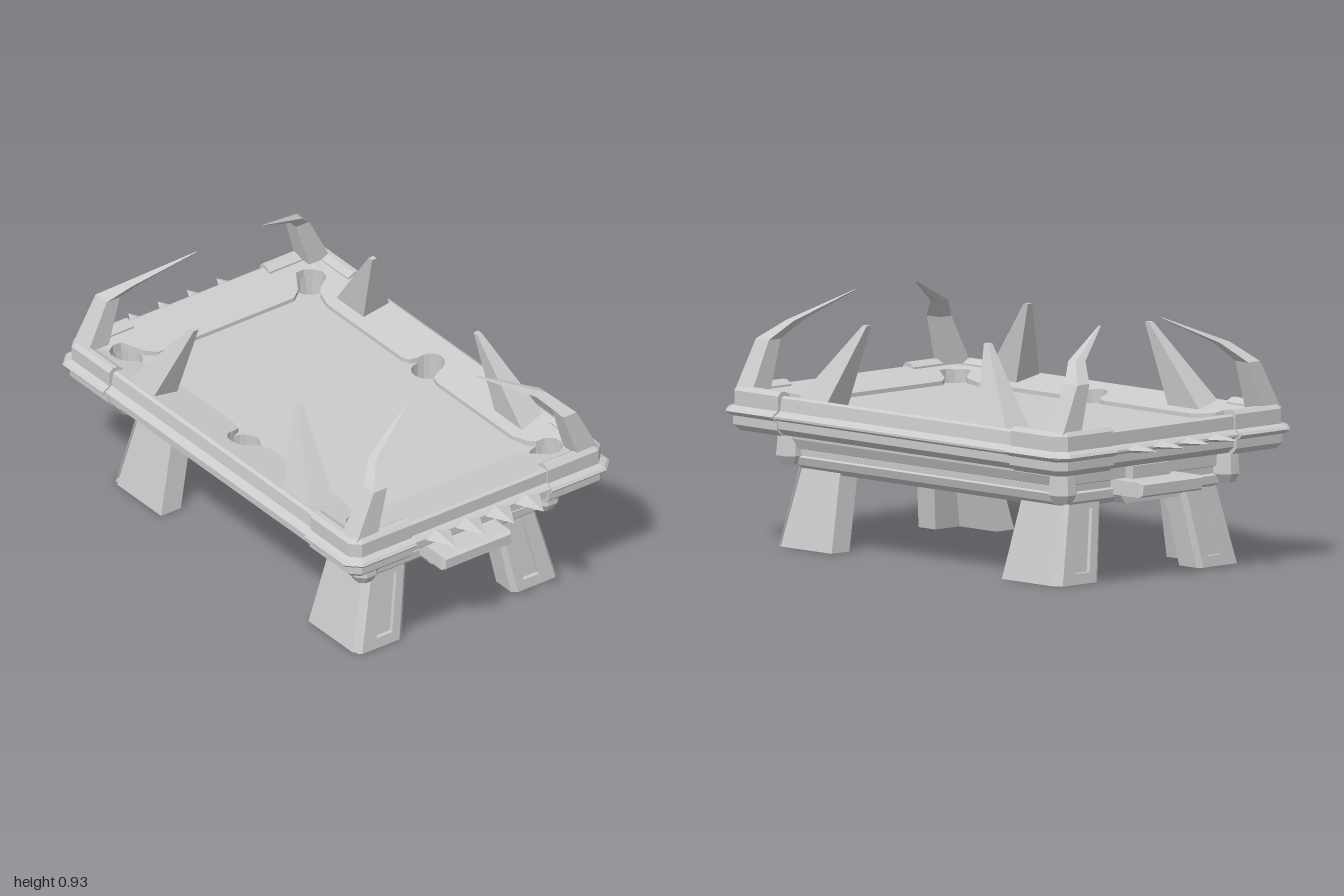
import * as THREE from 'three';

const solid = new THREE.MeshStandardMaterial({ color: 0xcccccc, flatShading: true });
const open = new THREE.MeshStandardMaterial({ color: 0xcccccc, flatShading: true, side: THREE.DoubleSide });
const V = (x, y, z) => new THREE.Vector3(x, y, z);
const lerp = THREE.MathUtils.lerp;

// Skin closed rings of points; end caps fan out from each ring's first point.
function loft(rings, capStart = true, capEnd = true) {
  const tris = [];
  const n = rings[0].length;
  for (let r = 0; r < rings.length - 1; r++) {
    for (let i = 0; i < n; i++) {
      const j = (i + 1) % n, a = rings[r], b = rings[r + 1];
      tris.push([a[i], b[i], b[j]], [a[i], b[j], a[j]]);
    }
  }
  const last = rings[rings.length - 1];
  for (let i = 1; i < n - 1; i++) {
    if (capStart) tris.push([rings[0][0], rings[0][i], rings[0][i + 1]]);
    if (capEnd) tris.push([last[0], last[i + 1], last[i]]);
  }
  // Turn the faces outward whichever way the rings run
  const o = rings[0][0];
  let volume = 0;
  for (const [a, b, c] of tris) volume += a.clone().sub(o).dot(b.clone().sub(o).cross(c.clone().sub(o)));
  const pos = [];
  for (const [a, b, c] of tris) for (const p of volume < 0 ? [a, c, b] : [a, b, c]) pos.push(p.x, p.y, p.z);
  const g = new THREE.BufferGeometry();
  g.setAttribute('position', new THREE.Float32BufferAttribute(pos, 3));
  g.computeVertexNormals();
  return g;
}

// Rectangle with chamfered corners, lying flat
function plate(hx, hz, y, c = 0.03) {
  return [[hx, hz - c], [hx - c, hz], [c - hx, hz], [-hx, hz - c], [-hx, c - hz], [c - hx, -hz], [hx - c, -hz], [hx, c - hz]]
    .map(([x, z]) => V(x, y, z));
}

// Four-sided section: centre, width and depth
const quad = (x, y, z, w, d) => [[-1, -1], [1, -1], [1, 1], [-1, 1]].map(([a, b]) => V(x + a * w / 2, y, z + b * d / 2));

export function createModel() {
  const group = new THREE.Group();
  const add = (name, geometry, material = solid) => {
    const mesh = new THREE.Mesh(geometry, material);
    mesh.name = name;
    group.add(mesh);
    return mesh;
  };
  const BED = 0.525, R = 0.062;

  // Rail frame with a thin projecting lip
  add('railFrame', loft([
    [0.86, 0.545, 0.575], [0.872, 0.558, 0.568], [0.872, 0.565, 0.52], [0.885, 0.575, 0.512], [0.895, 0.595, 0.503],
    [0.895, 0.595, 0.495], [0.87, 0.575, 0.485], [0.87, 0.575, 0.455], [0.84, 0.545, 0.43],
  ].map(([x, z, y]) => plate(x, z, y)), false, true));

  // Lower body with a long groove
  add('lowerBody', loft([
    [0.72, 0.44, 0.435], [0.72, 0.44, 0.4], [0.72, 0.425, 0.365], [0.705, 0.405, 0.36], [0.705, 0.405, 0.335],
    [0.72, 0.415, 0.33], [0.72, 0.405, 0.3], [0.70, 0.38, 0.278],
  ].map(([x, z, y]) => plate(x, z, y))));

  // Playing bed with six pocket holes
  const bed = new THREE.Shape([[-0.86, -0.545], [0.86, -0.545], [0.86, 0.545], [-0.86, 0.545]].map(p => new THREE.Vector2(...p)));
  for (const px of [-0.72, 0, 0.72]) for (const pz of [-0.42, 0.42]) {
    bed.holes.push(new THREE.Path().absarc(px, pz, R, 0, Math.PI * 2, true));
    const well = new THREE.LatheGeometry([[0, 0.45], [R, 0.45], [R, BED]].map(p => new THREE.Vector2(...p)), 16);
    add('pocket', well, open).position.set(px, 0, pz);
  }
  add('bed', new THREE.ShapeGeometry(bed, 8).rotateX(-Math.PI / 2).translate(0, BED, 0));

  // Sloped cushions: one quarter of [inner x, inner z, outer x, outer z], mirrored round
  const quarter = [];
  for (let i = 0; i <= 4; i++) {
    const a = Math.PI / 2 * (1 - i / 4), x = R * Math.cos(a);
    quarter.push([x, 0.42 + R * Math.sin(a), x, 0.545]);
  }
  quarter.push([0.075, 0.39, 0.075, 0.545], [0.11, 0.38, 0.11, 0.545], [0.56, 0.38, 0.56, 0.545], [0.63, 0.40, 0.64, 0.545]);
  for (let i = 0; i <= 6; i++) {
    const a = Math.PI * (1 - i / 6) - 0.35 * (i / 6), t = i / 6;
    quarter.push([0.72 + R * Math.cos(a), 0.42 + R * Math.sin(a),
      t < 0.5 ? lerp(0.66, 0.86, t * 2) : 0.86, t < 0.5 ? 0.545 : lerp(0.545, 0.40, t * 2 - 1)]);
  }
  quarter.push([0.70, 0.35, 0.86, 0.35], [0.67, 0.31, 0.86, 0.31], [0.67, 0, 0.86, 0]);
  const flip = (list, sx, sz) => list.map(([a, b, c, d]) => [a * sx, b * sz, c * sx, d * sz]);
  const back = [...quarter].reverse();
  const loop = [...quarter, ...flip(back, 1, -1).slice(1), ...flip(quarter, -1, -1).slice(1), ...flip(back, -1, 1).slice(1, -1)];
  const lip = ([x, z]) => {
    const t = Math.max((Math.abs(x) - 0.67) / 0.19, (Math.abs(z) - 0.38) / 0.165, 0);
    return 0.54 + 0.035 * Math.min(t, 1);
  };
  add('cushions', loft([
    loop.map(p => V(p[0], BED, p[1])),
    loop.map(p => V(p[0], lip(p), p[1])),
    loop.map(p => V(p[2], 0.575, p[3])),
  ], false, false), open);

  // Parts repeated at each corner
  const capProfile = [[-0.06, 0.53], [-0.06, 0.575], [-0.035, 0.59], [-0.015, 0.59], [0, 0.575], [0, 0.52], [0.022, 0.51],
    [0.03, 0.5], [0.022, 0.49], [0.005, 0.483], [0.005, 0.45], [-0.02, 0.427], [-0.06, 0.427]];
  for (const sx of [-1, 1]) for (const sz of [-1, 1]) {
    const m = ring => ring.map(p => V(p.x * sx, p.y, p.z * sz));

    // Corner cap wrapping the rail
    const hx = 0.88, hz = 0.575, c = 0.035;
    const path = [o => [0.615, hz + o], o => [hx - c + o * 0.5, hz + o], o => [hx + o, hz - c + o * 0.5], o => [hx + o, 0.31]];
    add('cornerCap', loft(path.map(f => m(capProfile.map(([o, y]) => V(f(o)[0], y, f(o)[1]))))), open);

    // Curved corner horn
    add('cornerHorn', loft([
      quad(0.82, 0.575, 0.505, 0.09, 0.095), quad(0.816, 0.755, 0.432, 0.068, 0.06),
      quad(0.745, 0.825, 0.365, 0.04, 0.05), quad(0.647, 0.925, 0.155, 0.005, 0.008),
    ].map(m)));

    // Leaning spike on the long rail
    add('railSpike', loft([quad(0.483, 0.55, 0.485, 0.165, 0.12), quad(0.32, 0.852, 0.407, 0.022, 0.022)].map(m)));

    // Faceted knob below the pocket
    const knob = new THREE.LatheGeometry([[0, 0.298], [0.035, 0.302], [0.056, 0.335], [0.05, 0.4], [0.045, 0.435]]
      .map(p => new THREE.Vector2(...p)), 8, Math.PI / 8);
    add('cornerKnob', knob).position.set(0.72 * sx, 0, 0.413 * sz);

    // L-section splayed leg with a framed recess on its outer side
    const H = 0.3, D = 0.016, T = 0.09;
    const at = y => ({ x0: lerp(0.45, 0.48, y / H), x1: lerp(0.75, 0.71, y / H), z0: lerp(0.25, 0.2, y / H), z1: lerp(0.462, 0.388, y / H) });
    const section = y => {
      const { x0, x1, z0, z1 } = at(y), xo = x1 - D, k = 0.015;
      return [[xo - T, z1 - T], [xo - T, z0], [xo, z0], [xo, z1 - k], [xo - k, z1], [x0, z1], [x0, z1 - T]].map(([x, z]) => V(x, y, z));
    };
    add('leg', loft([section(0), section(H)].map(m)));
    const frame = (ya, yb, sa, sb, d) => [[ya, sa], [yb, sa], [yb, sb], [ya, sb]].map(([y, s]) => {
      const { x1, z0, z1 } = at(y);
      return V(x1 - d, y, lerp(z0, z1, s));
    });
    add('legPanelFrame', loft([
      frame(0, H, 0, 0.97, D), frame(0, H, 0.1, 0.9, 0), frame(0.04, 0.27, 0.27, 0.61, 0), frame(0.04, 0.27, 0.27, 0.61, D),
    ].map(m), false, false), open);
  }

  // Parts on each short end
  for (const sx of [-1, 1]) {
    // Flat spikes along the lip
    for (const z of [-0.205, -0.068, 0.068, 0.205]) {
      const base = [[0, -0.065], [0.016, 0], [0, 0.065], [-0.016, 0]].map(([dy, dz]) => V(0.88 * sx, 0.5 + dy, z + dz));
      const tip = base.map(() => V(sx, 0.5, z * 0.98));
      add('endSpike', loft([base, tip]));
    }
    // Ledge, its lower bracket and the block above
    const side = (x, ya, yb, wa, wb) => [[ya, -wa], [ya, wa], [yb, wb], [yb, -wb]].map(([y, z]) => V(x * sx, y, z));
    add('endLedge', loft([side(0.69, 0.31, 0.365, 0.158, 0.155), side(0.855, 0.31, 0.365, 0.158, 0.155), side(0.87, 0.318, 0.357, 0.15, 0.147)]));
    add('ledgeBracket', loft([side(0.69, 0.278, 0.312, 0.135, 0.158), side(0.76, 0.278, 0.312, 0.135, 0.158)]));
    add('endBlock', loft([side(0.69, 0.36, 0.412, 0.095, 0.095), side(0.76, 0.36, 0.412, 0.095, 0.095)]));
  }
  return group;
}
